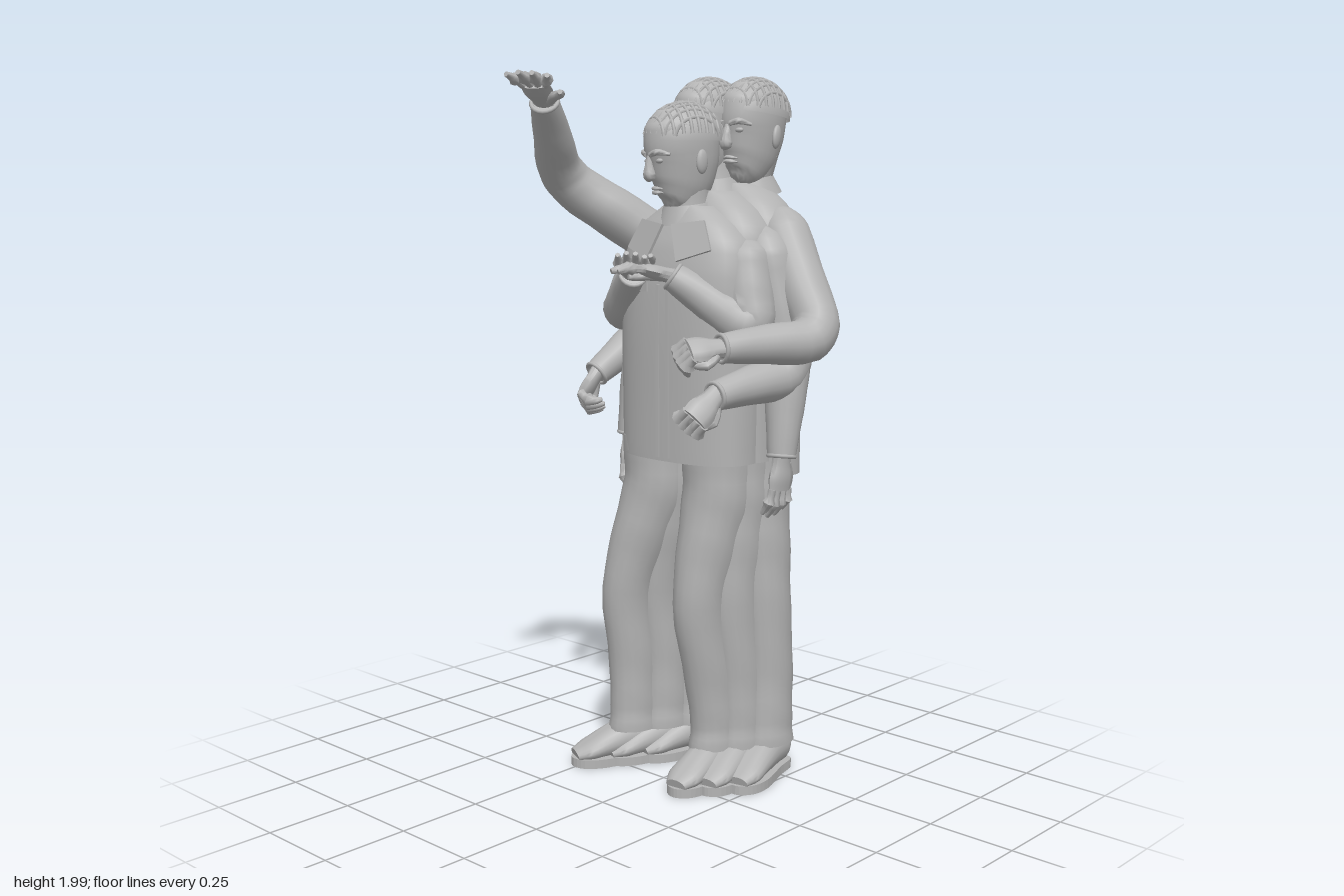
import * as THREE from 'three';
import { toCreasedNormals } from 'three/addons/utils/BufferGeometryUtils.js';

const V = (x, y, z) => new THREE.Vector3(x, y, z);
const grey = new THREE.MeshStandardMaterial({ color: 0xb4b4b4, side: THREE.DoubleSide });
grey.name = 'stone grey';

function add(parent, geometry, name, x = 0, y = 0, z = 0) {
  const m = new THREE.Mesh(geometry, grey);
  m.name = name;
  m.position.set(x, y, z);
  parent.add(m);
  return m;
}

// Skin a smooth path of [x, y, z, radiusA, radiusB] sections; square < 1 makes boxier sections
function loft(sections, { sides = 18, steps = 4, square = 1, fold = 0 } = {}) {
  const path = new THREE.CatmullRomCurve3(sections.map(s => V(s[0], s[1], s[2])));
  const size = new THREE.CatmullRomCurve3(sections.map(s => V(s[3], s[4] ?? s[3], 0)));
  const n = (sections.length - 1) * steps, pos = [], idx = [];
  const pw = v => Math.sign(v) * Math.abs(v) ** square;
  let N = null;
  for (let i = 0; i <= n; i++) {
    const c = path.getPoint(i / n), r = size.getPoint(i / n), T = path.getTangent(i / n);
    if (!N) N = Math.abs(T.x) > 0.9 ? V(0, 1, 0) : V(1, 0, 0);
    N.addScaledVector(T, -N.dot(T)).normalize();
    const B = T.clone().cross(N);
    for (let j = 0; j < sides; j++) {
      const a = j / sides * Math.PI * 2;
      const k = 1 + fold * Math.sin(i * 1.7 + 1.3 * Math.sin(a * 2));
      const p = c.clone().addScaledVector(N, pw(Math.cos(a)) * r.x * k).addScaledVector(B, pw(Math.sin(a)) * r.y * k);
      pos.push(p.x, p.y, p.z);
    }
  }
  for (const e of [0, n]) pos.push(...path.getPoint(e / n).toArray());
  const c0 = (n + 1) * sides;
  for (let j = 0; j < sides; j++) {
    const k = (j + 1) % sides;
    for (let i = 0; i < n; i++) {
      const a = i * sides + j, b = i * sides + k;
      idx.push(a, b, a + sides, b, b + sides, a + sides);
    }
    idx.push(c0, k, j, c0 + 1, n * sides + j, n * sides + k);
  }
  const g = new THREE.BufferGeometry();
  g.setAttribute('position', new THREE.Float32BufferAttribute(pos, 3));
  g.setIndex(idx);
  return toCreasedNormals(g, 0.9);
}

// Hand along dir; y is the back of the hand, thumb is on side +1 or -1 of local x
function hand(parent, wrist, dir, back, thumb, curl) {
  const g = new THREE.Group();
  g.name = 'hand';
  const z = V(...dir).normalize(), y = V(...back);
  y.addScaledVector(z, -y.dot(z)).normalize();
  g.quaternion.setFromRotationMatrix(new THREE.Matrix4().makeBasis(y.clone().cross(z), y, z));
  g.position.set(...wrist);
  g.scale.setScalar(1.12);
  parent.add(g);
  add(g, loft([[0, 0, -0.03, 0.026, 0.022], [0, 0, 0.015, 0.027, 0.018], [0, 0, 0.055, 0.037, 0.017],
    [0, 0, 0.085, 0.035, 0.012]], { sides: 12 }), 'palm');
  const fist = curl > 1, spread = fist ? 0 : curl < 0.2 ? 0.25 : 0.06;
  for (let i = 0; i < 4; i++) {
    const x = (i - 1.5) * 0.018, len = [0.068, 0.078, 0.074, 0.058][i];
    const pts = [0, 1, 2, 3].map(k => {
      const a = curl * k / 3, t = len * k / 3, s = fist ? 0.5 : 1;
      return [x * (1 + k * spread) * thumb, -Math.sin(a) * t * s - (fist ? k * 0.01 : 0),
        0.08 + Math.cos(a * 0.9) * t * s, k === 3 ? 0.006 : fist ? 0.012 : 0.01];
    });
    add(g, loft(pts, { sides: 8, steps: 2 }), 'finger');
  }
  const inX = fist ? 0.01 : curl < 0.2 ? 0.068 : 0.045;
  add(g, loft([[thumb * 0.02, -0.004, 0.02, 0.014], [thumb * 0.04, -0.012, 0.05, 0.012],
    [thumb * (inX + 0.02) / 1.35, -0.022, 0.078, 0.01], [thumb * inX, -0.026, 0.095, 0.006]], { sides: 8, steps: 2 }), 'thumb');
}

// Sleeve with a rounded shoulder through elbow and wrist, with cuff and hand
function arm(parent, name, [s, e, w], dir, back, thumb, curl) {
  const g = new THREE.Group();
  g.name = name;
  parent.add(g);
  const mid = (a, b, t) => a.map((v, i) => v + (b[i] - v) * t);
  add(g, loft([[...mid(s, e, -0.28), 0.012], [...mid(s, e, -0.2), 0.045], [...s, 0.073], [...mid(s, e, 0.5), 0.071],
    [...mid(s, e, 0.87), 0.066], [...mid(e, w, 0.13), 0.062], [...mid(e, w, 0.55), 0.053], [...w, 0.039]], { fold: 0.012 }), 'sleeve');
  const cuff = add(g, new THREE.TorusGeometry(0.036, 0.006, 8, 20), 'cuff', ...w);
  cuff.lookAt(V(...w).add(V(...w).sub(V(...e))));
  hand(g, w, dir, back, thumb, curl);
}

// Head facing +z with cropped, cross-hatched hair
function head(parent, x, y, z, yaw, pitch) {
  const g = new THREE.Group();
  g.name = 'head';
  g.position.set(x, y, z);
  g.rotation.set(pitch, yaw, 0, 'YXZ');
  g.scale.z = 1.06;
  parent.add(g);
  add(g, loft([[0, -0.143, 0.05, 0.022, 0.025], [0, -0.125, 0.036, 0.045, 0.055], [0, -0.08, 0.014, 0.065, 0.085],
    [0, -0.02, 0, 0.076, 0.1], [0, 0.03, -0.003, 0.08, 0.106], [0, 0.08, -0.008, 0.078, 0.102],
    [0, 0.125, -0.01, 0.045, 0.065]], { sides: 24 }), 'skull');
  add(g, loft([[0, 0.012, 0.092, 0.009, 0.01], [0, -0.018, 0.1, 0.012, 0.014], [0, -0.042, 0.103, 0.018, 0.017],
    [0, -0.052, 0.097, 0.012, 0.012]], { sides: 12 }), 'nose');
  for (const [ly, r] of [[-0.077, 0.006], [-0.088, 0.007]])
    add(g, loft([[-0.025, ly - 0.003, 0.084, 0.002], [0, ly, 0.095, r], [0.025, ly - 0.003, 0.084, 0.002]], { sides: 8 }), 'lip');
  for (const s of [-1, 1]) {
    add(g, loft([[s * 0.01, 0.014, 0.099, 0.008], [s * 0.035, 0.02, 0.092, 0.009], [s * 0.06, 0.01, 0.068, 0.004]],
      { sides: 8 }), 'brow');
    add(g, new THREE.SphereGeometry(0.011, 12, 8), 'eye', s * 0.031, -0.004, 0.086).scale.set(1.3, 0.7, 0.8);
    const ear = add(g, new THREE.SphereGeometry(0.03, 14, 10), 'ear', s * 0.079, -0.022, -0.012);
    ear.scale.set(0.35, 1.1, 0.65);
    ear.rotation.set(-0.15, s * 0.3, 0);
  }
  const hair = new THREE.Group();
  hair.name = 'hair';
  hair.position.set(0, 0.035, -0.01);
  hair.scale.set(0.088, 0.104, 0.11);
  hair.rotation.x = -0.15;
  g.add(hair);
  add(hair, new THREE.SphereGeometry(1, 28, 14, 0, Math.PI * 2, 0, Math.PI * 0.5), 'hairCap');
  for (let i = -4; i <= 4; i++) for (const across of [false, true]) {
    const k = i * 0.2, r = Math.sqrt(1 - k * k), pts = [];
    for (let j = 0; j <= 12; j++) {
      const a = Math.PI * (0.06 + 0.88 * j / 12), u = Math.cos(a) * r, h = Math.sin(a) * r;
      pts.push(across ? V(u, h, k) : V(k, h, u));
    }
    add(hair, new THREE.TubeGeometry(new THREE.CatmullRomCurve3(pts), 18, 0.05, 5), 'hairStrand');
  }
}

function leg(parent, turn, hip, knee, ankle) {
  const [hx, hz] = hip, [kx, kz] = knee, [ax, az] = ankle;
  add(parent, loft([[hx, 0.99, hz, 0.1, 0.105], [hx, 0.85, hz, 0.1, 0.1], [(hx + kx) / 2, 0.7, (hz + kz) / 2, 0.086, 0.094],
    [kx, 0.53, kz, 0.07, 0.082], [(kx + ax) / 2, 0.32, (kz + az) / 2 - 0.008, 0.066, 0.08],
    [ax, 0.17, az, 0.064, 0.08], [ax, 0.1, az, 0.067, 0.086]], { fold: 0.016 }), 'trouserLeg');
  // Shoe turned outward
  const shoe = new THREE.Group();
  shoe.name = 'shoe';
  shoe.position.set(ax, 0, az);
  shoe.rotation.y = turn;
  parent.add(shoe);
  add(shoe, loft([[0, 0.064, -0.085, 0.035, 0.04], [0, 0.074, -0.05, 0.05, 0.055], [0, 0.074, 0.02, 0.052, 0.055],
    [0, 0.06, 0.09, 0.054, 0.042], [0, 0.043, 0.15, 0.053, 0.028], [0, 0.032, 0.19, 0.033, 0.018]]), 'upper');
  const outline = new THREE.Shape(new THREE.SplineCurve([[0, -0.092], [0.04, -0.075], [0.045, 0], [0.058, 0.11], [0.042, 0.175],
    [0, 0.2], [-0.042, 0.175], [-0.058, 0.11], [-0.045, 0], [-0.04, -0.075], [0, -0.092]]
    .map(p => new THREE.Vector2(p[0], -p[1]))).getPoints(40));
  add(shoe, new THREE.ExtrudeGeometry(outline, { depth: 0.026, bevelEnabled: false }), 'sole').rotation.x = -Math.PI / 2;
}

function man(name, i, { x, z, hem, lift }) {
  const g = new THREE.Group();
  g.name = name;
  const t = (y, w, d, dz = 0) => [x, y + lift, z + dz, w, d];
  add(g, loft([[x, hem, z, 0.219, 0.122], t(1.1, 0.221, 0.123), t(1.3, 0.222, 0.126), t(1.46, 0.221, 0.122),
    t(1.54, 0.208, 0.11, -0.004), t(1.6, 0.16, 0.092, -0.008), t(1.65, 0.085, 0.07, -0.01)], { sides: 32, square: 0.8 }), 'vest');
  leg(g, -0.42 + i * 0.06, [-0.11 + i * 0.04, -0.095 - i * 0.06], [-0.182 + i * 0.05, -0.042 - i * 0.09],
    [-0.182 + i * 0.048, -0.068 - i * 0.086]);
  leg(g, 0.1 + i * 0.06, [0.118 + i * 0.015, -0.095 - i * 0.06], [0.095 + i * 0.045, -0.045 - i * 0.09],
    [0.1 + i * 0.045, -0.11 - i * 0.065]);
  return g;
}

export function createModel() {
  const model = new THREE.Group();
  model.name = 'threeMen';
  const front = man('frontMan', 0, { x: 0.015, z: -0.095, hem: 0.94, lift: -0.01 });
  const middle = man('middleMan', 1, { x: 0.02, z: -0.165, hem: 0.94, lift: 0.03 });
  const rear = man('rearMan', 2, { x: 0.035, z: -0.25, hem: 0.89, lift: 0.05 });
  model.add(front, middle, rear);

  // Necks, heads and collars
  for (const [g, x, y, z, yaw, pitch, tx] of [[front, 0.005, 1.78, -0.068, -0.3, 0.15, 0.015],
    [middle, -0.008, 1.85, -0.185, 0, 0, 0.02], [rear, 0.088, 1.85, -0.264, 0, 0, 0.045]]) {
    const nz = z - 0.02;
    add(g, loft([[tx, y - 0.23, nz, 0.07], [(x + tx) / 2, y - 0.14, nz, 0.06], [x, y - 0.06, nz, 0.064]]), 'neck');
    head(g, x, y, z, yaw, pitch);
    add(g, new THREE.CylinderGeometry(0.066, 0.088, 0.05, 24, 1, true), 'collar', (x + tx) / 2, y - 0.155, nz).rotation.x = 0.15;
  }

  // Front placket, collar flaps and chest pockets
  for (const s of [-1, 1]) {
    const flap = new THREE.Shape([[0, 0], [0.1 * s, 0.02], [0.14 * s, -0.06], [0.04 * s, -0.1]].map(p => new THREE.Vector2(...p)));
    const m = add(front, new THREE.ExtrudeGeometry(flap, { depth: 0.008, bevelEnabled: false }), 'collarFlap', 0.015 + s * 0.015, 1.59, 0);
    m.rotation.set(-0.32, s * 0.2, 0);
    add(front, new THREE.BoxGeometry(0.1, 0.025, 0.009), 'pocketFlap', 0.015 + s * 0.1, 1.42, 0.022).rotation.y = s * 0.1;
    add(front, new THREE.BoxGeometry(0.01, 0.48, 0.009), 'placketEdge', 0.022 + s * 0.018, 1.19, 0.029);
  }

  // Arms of the front man
  arm(front, 'raisedArm', [[-0.13, 1.53, -0.13], [-0.295, 1.715, 0.1], [-0.165, 1.915, 0.285]], [0.42, 0.42, 0.75], [0, 1, 0], 1, 0.12);
  arm(front, 'bentLeftArm', [[0.19, 1.5, -0.12], [0.24, 1.31, -0.09], [0.075, 1.455, 0.045]], [-0.08, 0.04, 0.14], [0, 1, 0], -1, 0.3);
  // Arms of the middle man
  arm(middle, 'bentRightArm', [[-0.18, 1.5, -0.14], [-0.235, 1.33, -0.08], [-0.075, 1.455, 0.045]], [0.1, 0.04, 0.11], [0, -1, 0], -1, 0.25);
  arm(middle, 'lowLeftArm', [[0.22, 1.5, -0.18], [0.29, 1.19, -0.2], [0.255, 1.15, 0.075]], [-0.05, -0.5, 0.7], [0.8, 0.5, 0.3], 1, 1.9);
  // Arms of the rear man
  arm(rear, 'backRightArm', [[-0.17, 1.56, -0.25], [-0.36, 1.295, -0.375], [-0.398, 1.135, -0.13]], [0, -0.55, 0.5], [-0.8, 0.3, 0.3], -1, 1.9);
  arm(rear, 'forwardLeftArm', [[0.22, 1.56, -0.25], [0.388, 1.29, -0.2], [0.288, 1.28, 0.09]], [-0.35, 0, 0.9], [0.6, 0.7, 0.2], 1, 1.9);
  // Arms hanging at the sides
  arm(middle, 'hangingRightArm', [[-0.17, 1.5, -0.17], [-0.25, 1.24, -0.19], [-0.275, 0.965, -0.15]], [0, -1, 0.05], [-1, 0, 0.1], -1, 0.4);
  arm(middle, 'hangingLeftArm', [[0.2, 1.5, -0.2], [0.28, 1.24, -0.2], [0.3, 0.965, -0.15]], [0, -1, 0.05], [1, 0, 0.1], 1, 0.4);

  return model;
}
